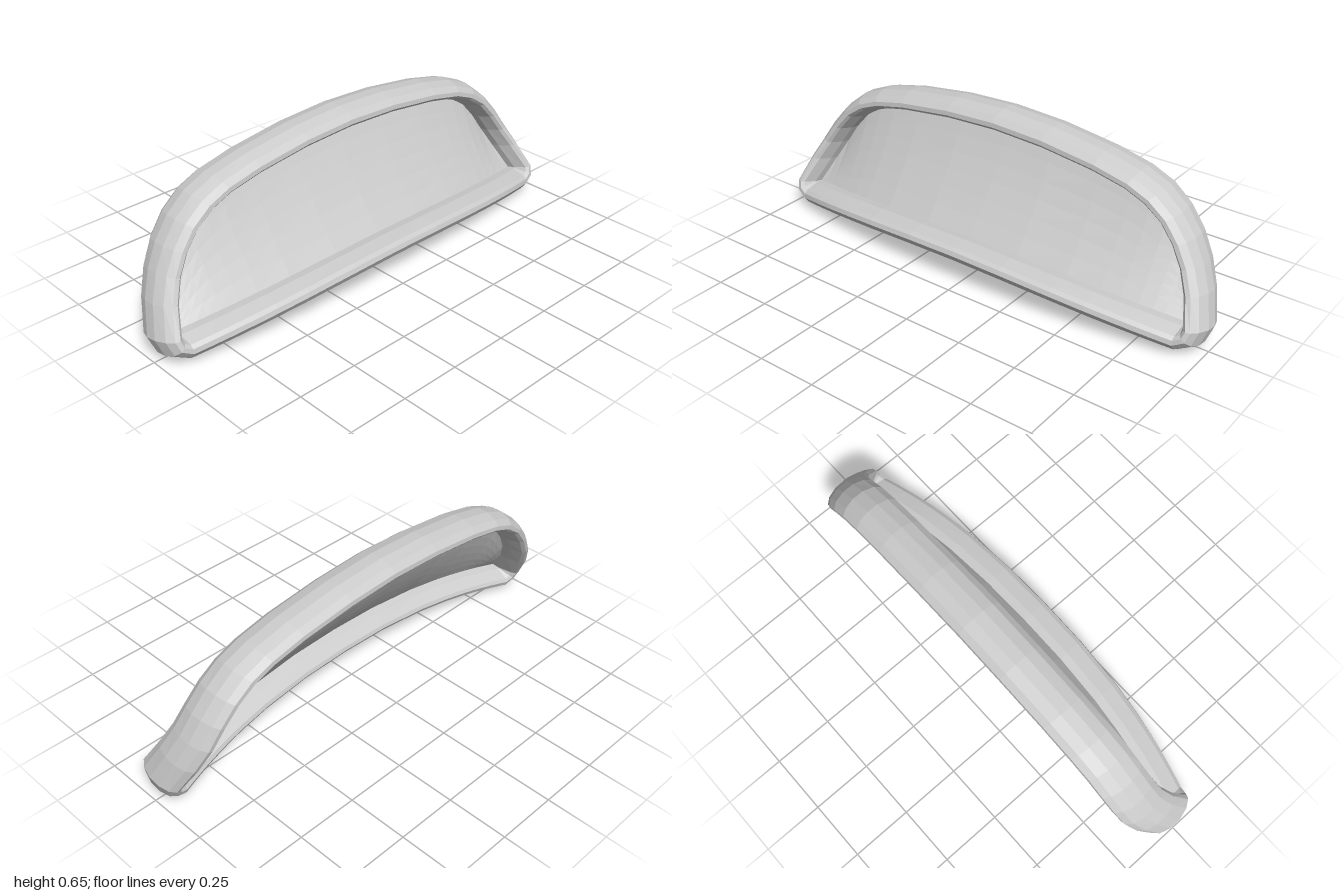
import * as THREE from 'three';

// Arch stations from the crown to the lower corner:
// inner z, y, x, outer z, y, x, tilt of the section
const ARCH = [
  [0, .555, -.13, 0, .648, -.13, 0],
  [.22, .546, -.13, .23, .637, -.13, 0],
  [.44, .522, -.128, .47, .606, -.128, 0],
  [.58, .495, -.126, .62, .572, -.127, 0],
  [.66, .465, -.123, .72, .53, -.124, 0],
  [.73, .42, -.118, .80, .465, -.12, .02],
  [.785, .355, -.108, .865, .385, -.111, .04],
  [.83, .28, -.091, .915, .30, -.095, .09],
  [.87, .20, -.054, .96, .21, -.06, .15],
  [.91, .10, .012, 1.0, .10, -.005, .19],
];
// Extra stations that fan round the lower corner
const CORNER = [
  [.91, .10, .012, .98, .04, .02, .18],
  [.91, .10, .012, .91, .005, .037, .17],
];
const HALF_WIDTH = .098;

// One half of the band's section: across (a), inner to outer (b)
const HALF = [[.35, .05], [.88, .28], [1, .42], [.98, .62], [.72, .85], [.25, 1]];
const PROFILE = [[0, 0], ...HALF, ...HALF.map(([a, b]) => [-a, b]).reverse()];

// Lower rail, bowed upward and forward in the middle
function rail(z) {
  const k = Math.abs(z) / .91, q = k * k, c = k ** 2.5;
  return [z, .172 - .072 * q, .105 - .093 * c,
    z, .085 - .08 * q, .15 - .113 * c, .26 - .09 * q];
}

const flipZ = s => [-s[0], s[1], s[2], -s[3], s[4], s[5], s[6]];

function meshFrom(name, positions, index, side) {
  const geometry = new THREE.BufferGeometry();
  geometry.setAttribute('position', new THREE.Float32BufferAttribute(positions, 3));
  geometry.setIndex(index);
  geometry.computeVertexNormals();
  const mesh = new THREE.Mesh(geometry,
    new THREE.MeshStandardMaterial({ color: 0xcccccc, flatShading: true, side }));
  mesh.name = name;
  return mesh;
}

// Closed band: the section swept round the ring of stations
function buildFrame() {
  const lower = ARCH.slice(0, -1).map(s => rail(s[0]));
  const half = [...ARCH, ...CORNER, ...lower.reverse()];
  const ring = [...half, ...half.slice(1, -1).reverse().map(flipZ)];
  const positions = [], index = [], m = PROFILE.length, n = ring.length;
  ring.forEach(([zi, yi, xi, zo, yo, xo, tilt], i) => {
    PROFILE.forEach(([a, b], j) => {
      const w = a * HALF_WIDTH;
      positions.push(
        xi + (xo - xi) * b + w * Math.cos(tilt),
        yi + (yo - yi) * b + w * Math.sin(tilt),
        zi + (zo - zi) * b);
      const i2 = (i + 1) % n, j2 = (j + 1) % m;
      const p = i * m + j, q = i * m + j2, r = i2 * m + j, s = i2 * m + j2;
      index.push(p, q, r, q, s, r);
    });
  });
  return meshFrom('frame', positions, index, THREE.FrontSide);
}

// Thin curved panel between the arch and the lower rail
function buildPanel() {
  const columns = [...ARCH.slice(1).reverse().map(flipZ), ...ARCH];
  const rows = 6, positions = [], index = [];
  columns.forEach(([z, y, x], i) => {
    const [, yb, xb] = rail(z);
    for (let j = 0; j <= rows; j++) {
      const t = j / rows;
      const sag = .015 * 4 * t * (1 - t) * (y - yb) / .383;
      positions.push(xb + (x - xb) * t - sag, yb + (y - yb) * t, z);
      if (i && j) {
        const d = i * (rows + 1) + j, c = d - 1, b = d - rows - 1, a = b - 1;
        index.push(a, b, c, b, d, c);
      }
    }
  });
  return meshFrom('panel', positions, index, THREE.DoubleSide);
}

export function createModel() {
  const group = new THREE.Group();
  group.name = 'framedPanel';
  group.add(buildFrame(), buildPanel());
  return group;
}
